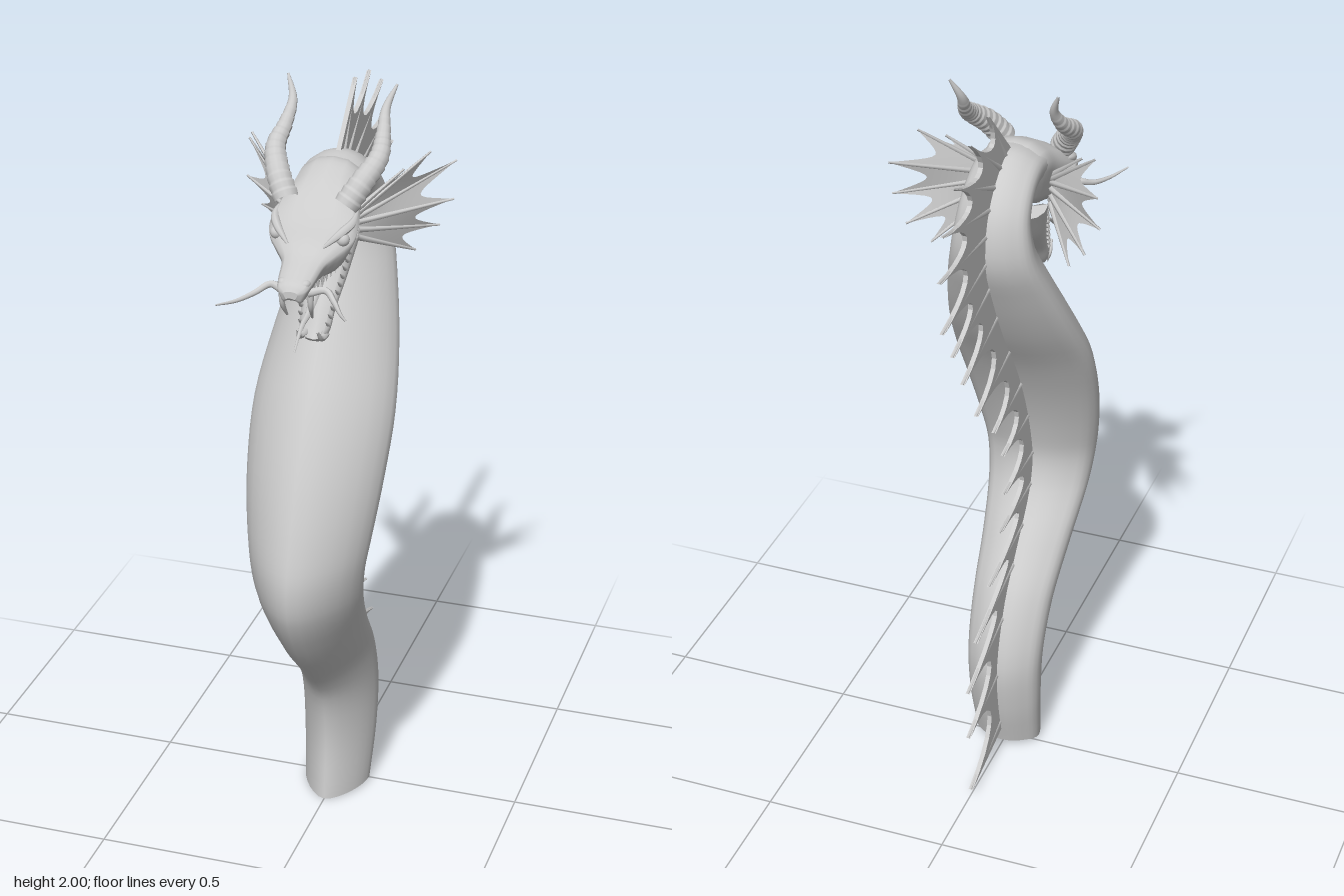
import * as THREE from 'three';
import { ParametricGeometry } from 'three/addons/geometries/ParametricGeometry.js';

const grey = new THREE.MeshStandardMaterial({ color: 0xcccccc });
const thin = new THREE.MeshStandardMaterial({ color: 0xcccccc, side: THREE.DoubleSide });
const V = (x, y, z) => new THREE.Vector3(x, y, z);

// Stations: [belly z, belly y, back z, back y, half width]; half profile: [side, belly(+1) to back(-1)]
function loft(stations, profile, steps) {
  const belly = new THREE.CatmullRomCurve3(stations.map((s) => V(s[4], s[1], s[0])));
  const back = new THREE.CatmullRomCurve3(stations.map((s) => V(0, s[3], s[2])));
  const ring = [...profile, ...profile.slice(1, -1).reverse().map(([a, b]) => [-a, b])];
  const n = ring.length, pos = [], idx = [];
  for (let i = 0; i <= steps; i++) {
    const f = belly.getPoint(i / steps), b = back.getPoint(i / steps);
    for (const [side, d] of ring) {
      const k = (1 - d) / 2;
      pos.push(side * f.x, f.y + (b.y - f.y) * k, f.z + (b.z - f.z) * k);
    }
    if (i === steps) continue;
    for (let j = 0; j < n; j++) {
      const a = i * n + j, c = i * n + (j + 1) % n;
      idx.push(a, c, c + n, a, c + n, a + n);
    }
  }
  // End caps get their own vertices so their edges stay crisp
  for (const end of [0, steps]) {
    const base = pos.length / 3, mid = V(0, 0, 0);
    for (let j = 0; j < n; j++) {
      const p = V().fromArray(pos, (end * n + j) * 3);
      mid.addScaledVector(p, 1 / n);
      pos.push(p.x, p.y, p.z);
    }
    pos.push(mid.x, mid.y, mid.z);
    for (let j = 0; j < n; j++) {
      const a = base + j, c = base + (j + 1) % n;
      idx.push(base + n, ...(end ? [a, c] : [c, a]));
    }
  }
  const g = new THREE.BufferGeometry();
  g.setAttribute('position', new THREE.Float32BufferAttribute(pos, 3));
  g.setIndex(idx);
  g.computeVertexNormals();
  return g;
}

// Tube along points whose radius follows a rule of t
function taper(points, radius, steps = 12, sides = 8) {
  const curve = new THREE.CatmullRomCurve3(points);
  const g = new THREE.TubeGeometry(curve, steps, 1, sides);
  const p = g.attributes.position, v = V();
  for (let i = 0; i < p.count; i++) {
    const t = Math.floor(i / (sides + 1)) / steps, c = curve.getPointAt(t);
    v.fromBufferAttribute(p, i).sub(c).multiplyScalar(radius(t)).add(c);
    p.setXYZ(i, v.x, v.y, v.z);
  }
  g.computeVertexNormals();
  return g;
}
const spike = (r) => (t) => r * (1 - t) + 0.003;

export function createModel() {
  const model = new THREE.Group();
  const add = (name, geo, mat = grey, parent = model) => {
    const m = new THREE.Mesh(geo, mat);
    m.name = name;
    parent.add(m);
    return m;
  };

  // Serpentine body: keeled belly, widest behind the middle, with a ridge along each flank
  add('body', loft([
    [.14, 0, -.05, .015, .09], [.125, .18, -.085, .15, .099], [.15, .32, -.097, .3, .104],
    [.21, .41, -.035, .48, .11], [.34, .55, .06, .6, .122], [.433, .7, .155, .72, .14],
    [.447, .8, .18, .81, .152], [.425, .9, .165, .9, .166], [.36, 1.07, .12, 1.03, .182],
    [.27, 1.24, .05, 1.17, .187], [.17, 1.385, -.04, 1.31, .168], [.09, 1.5, -.115, 1.45, .14],
    [.03, 1.6, -.168, 1.58, .11], [.02, 1.65, -.155, 1.7, .094], [.04, 1.67, -.095, 1.78, .088],
    [.07, 1.665, -.01, 1.825, .085], [.1, 1.655, .07, 1.818, .083],
  ], [[0, 1], [.19, .94], [.39, .79], [.58, .59], [.75, .35], [.89, .09], [.97, -.16], [1, -.33], [.97, -.49],
    [.89, -.61], [.79, -.69], [.67, -.77], [.49, -.89], [.25, -.97], [0, -1]], 64));

  // Head and upper jaw, sunk into the neck
  add('head', loft([
    [.03, 1.67, -.02, 1.79, .06], [.07, 1.65, .05, 1.824, .082], [.12, 1.635, .115, 1.805, .09],
    [.18, 1.62, .18, 1.765, .108], [.23, 1.605, .23, 1.72, .108], [.265, 1.598, .265, 1.68, .075],
    [.29, 1.592, .29, 1.66, .055], [.35, 1.575, .35, 1.632, .044], [.38, 1.57, .38, 1.617, .036],
    [.392, 1.582, .392, 1.602, .018],
  ], [[0, .75], [.35, .8], [.6, 1], [.73, .75], [.86, .3], [.97, -.1], [1, -.4], [.85, -.72], [.45, -.94], [0, -1]], 40));

  // Lower jaw, a trough that hangs open
  const jaw = [[.02, 1.62, .1, 1.635, .074], [.09, 1.53, .135, 1.55, .057], [.15, 1.46, .18, 1.48, .043],
    [.19, 1.405, .215, 1.43, .036], [.208, 1.395, .225, 1.41, .02]];
  add('lowerJaw', loft(jaw, [[0, 1], [.5, .85], [.85, .4], [1, -.2], [.98, -1], [.78, -1], [.62, -.2], [0, 0]], 20));

  add('tongue', taper([V(0, 1.6, .11), V(0, 1.53, .18), V(0, 1.49, .25), V(0, 1.475, .31), V(0, 1.43, .365)],
    (t) => .016 * (1 - t) + .002, 18));

  // Paired head parts
  for (const s of [1, -1]) {
    const side = new THREE.Group();
    side.name = s > 0 ? 'leftHeadParts' : 'rightHeadParts';
    model.add(side);
    const P = (x, y, z) => V(s * x, y, z);
    const put = (name, geo, mat) => add(name, geo, mat, side);

    // Ringed horn, smooth towards the tip
    put('horn', taper([P(.075, 1.755, .19), P(.108, 1.81, .155), P(.132, 1.855, .1), P(.126, 1.893, .045), P(.12, 1.945, .002), P(.14, 2, -.025)],
      (t) => (.029 * (1 - t ** 1.6) + .003) * (t < .75 ? .95 + .12 * ((t * 16) % 1) : 1), 96, 14));

    // Eye, brow and nostril
    put('eye', new THREE.SphereGeometry(.017, 16, 12)).position.copy(P(.084, 1.688, .24));
    put('brow', taper([P(.098, 1.735, .165), P(.098, 1.72, .21), P(.08, 1.705, .245), P(.045, 1.675, .275)],
      (t) => .003 + .008 * Math.sin(Math.PI * t), 14));
    const nostril = put('nostril', new THREE.SphereGeometry(.013, 12, 10));
    nostril.position.copy(P(.028, 1.613, .358));
    nostril.scale.set(1, .8, 1.3);

    // Long whisker
    put('whisker', taper([P(.03, 1.585, .35), P(.07, 1.59, .332), P(.1, 1.575, .36), P(.13, 1.57, .41), P(.163, 1.578, .468)],
      (t) => .009 * (1 - t) + .002, 20));

    // Fangs
    put('upperFang', taper([P(.034, 1.59, .345), P(.036, 1.55, .345), P(.032, 1.51, .32)], spike(.008)));
    put('lowerFang', taper([P(.026, 1.415, .2), P(.028, 1.418, .238), P(.026, 1.445, .262)], spike(.008)));

    // Rows of small teeth
    for (let i = 0; i < 10; i++) {
      const k = i / 9;
      put('upperTooth', new THREE.ConeGeometry(.006, .032, 6).rotateX(Math.PI))
        .position.copy(P(.032 + .028 * Math.min(1, k * 1.6), 1.578 + .045 * k, .31 - .17 * k));
      const q = .1 + .8 * k;
      const tooth = put('lowerTooth', new THREE.ConeGeometry(.006, .034, 6));
      tooth.position.copy(P(.066 - .034 * q, 1.63 - .2 * q, .112 + .115 * q));
      tooth.rotation.x = .95;
    }

    // Ear frill: ribs with a scooped membrane between them
    const ribs = [
      [P(.078, 1.715, .11), P(.18, 1.81, .045)], [P(.079, 1.705, .108), P(.232, 1.842, -.01)],
      [P(.08, 1.695, .105), P(.272, 1.79, -.105)], [P(.08, 1.68, .1), P(.272, 1.695, -.085)],
      [P(.08, 1.66, .1), P(.235, 1.62, -.09)], [P(.078, 1.64, .1), P(.183, 1.56, -.055)],
    ];
    ribs.forEach(([a, b], i) => {
      put('frillRib', taper([a, a.clone().lerp(b, .5), b], spike(.005), 8, 6));
      if (!i) return;
      const [c, d] = ribs[i - 1];
      put('frillMembrane', new ParametricGeometry((u, v, out) => {
        const k = v * (1 - .36 * (1 - (2 * u - 1) ** 2));
        out.copy(c).lerp(d, k).lerp(a.clone().lerp(b, k), u);
      }, 10, 6), thin);
    });
  }

  // Dorsal fin spines: [base z, base y, tip z, tip y, web fullness after the previous spine]
  const spines = [
    [-.01, 1.8, -.13, 1.97, 0], [-.045, 1.79, -.25, 1.95, .36], [-.085, 1.76, -.36, 1.89, .36],
    [-.12, 1.72, -.432, 1.8, .36], [-.14, 1.66, -.458, 1.69, .34], [-.145, 1.59, -.445, 1.545, .28],
    [-.125, 1.51, -.38, 1.445, .25], [-.07, 1.4, -.315, 1.33, .15], [.02, 1.25, -.225, 1.185, .08],
    [.095, 1.1, -.1, 1.06, .06], [.17, .97, -.035, .95, .1], [.2, .83, -.03, .825, .12], [.19, .74, -.06, .72, .12],
    [.13, .65, -.14, .6, .12], [.03, .56, -.24, .485, .12], [-.04, .44, -.3, .36, .12], [-.07, .28, -.3, .21, .12],
    [-.05, .1, -.285, .02, .12],
  ];
  const along = ([a, b, c, d], k) => [a + (c - a) * k, b + (d - b) * k];
  const fin = new THREE.Shape();
  fin.moveTo(.02, 1.815);
  fin.lineTo(spines[0][2], spines[0][3]);
  spines.slice(1).forEach((s, i) =>
    fin.bezierCurveTo(...along(spines[i], s[4]), ...along(s, s[4]), s[2], s[3]));
  fin.lineTo(-.03, .07);
  [...spines].reverse().forEach((s) => fin.lineTo(s[0], s[1]));
  add('dorsalFin', new THREE.ExtrudeGeometry(fin, { depth: .012, bevelEnabled: false, curveSegments: 10 })
    .rotateY(-Math.PI / 2).translate(.006, 0, 0), thin);
  for (const [z, y, tz, ty] of spines) {
    add('finSpine', taper([V(0, y, z), V(0, (y + ty) / 2, (z + tz) / 2), V(0, ty, tz)], spike(.008), 8, 6));
  }

  return model;
}
